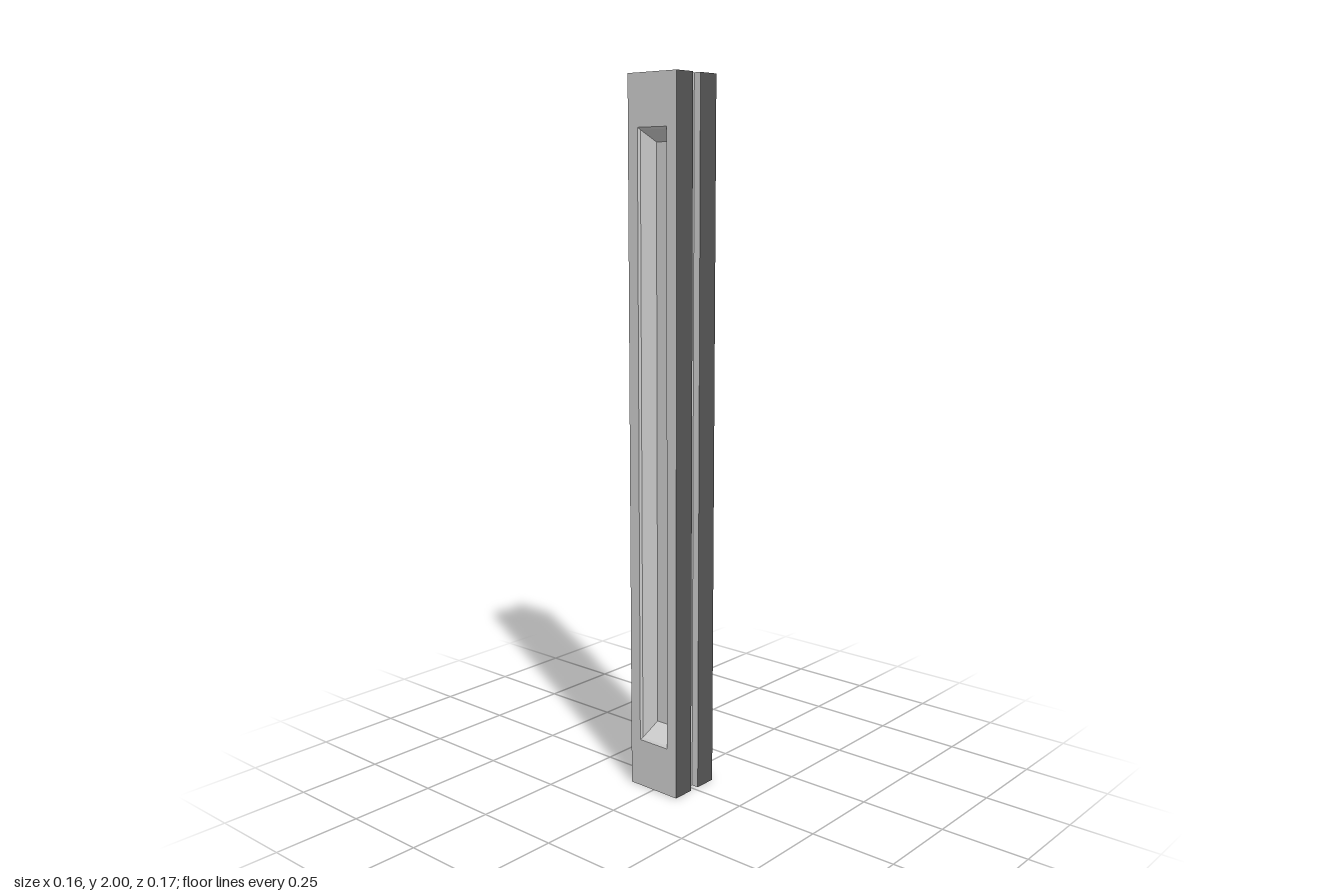
import * as THREE from 'three';

const W = 0.081, D = 0.085, H = 2;      // half width, half depth, height
const GW = 0.015, GZ = 0.064;           // groove half width, groove floor
const grey = new THREE.MeshStandardMaterial({ color: 0xcccccc, flatShading: true });
const dark = new THREE.MeshStandardMaterial({ color: 0x555555, flatShading: true });

// Flat-shaded geometry from four-cornered faces, corners counter-clockwise
function quads(list) {
  const pos = list.flatMap(([a, b, c, d]) => [a, b, c, a, c, d].flat());
  const g = new THREE.BufferGeometry();
  g.setAttribute('position', new THREE.Float32BufferAttribute(pos, 3));
  g.computeVertexNormals();
  return g;
}

function part(name, geometry, material = grey) {
  const mesh = new THREE.Mesh(geometry, material);
  mesh.name = name;
  return mesh;
}

// Full-height vertical strip between two plan points (x, z)
const strip = ([x0, z0], [x1, z1]) => [[x0, 0, z0], [x1, 0, z1], [x1, H, z1], [x0, H, z0]];

// Rectangle corners of a recess section: half width, bottom, top, depth
const ring = ([w, y0, y1, z]) => [[-w, y0, z], [w, y0, z], [w, y1, z], [-w, y1, z]];

function createHalf() {
  const half = new THREE.Group();

  // Dark faces either side of the groove
  half.add(part('facePanels', quads([
    strip([-W, D], [-GW, D]),
    strip([GW, D], [W, D]),
  ]), dark));

  // Groove walls and floor
  half.add(part('groove', quads([
    strip([-GW, D], [-GW, GZ]),
    strip([-GW, GZ], [GW, GZ]),
    strip([GW, GZ], [GW, D]),
  ])));

  // Side face with an opening, then a bevelled lip and a deep pocket with sloped ends
  const sections = [
    [0.051, 0.14, 1.86, 0],
    [0.046, 0.146, 1.854, -0.006],
    [0.046, 0.176, 1.824, -0.07],
  ];
  const toVectors = (pts) => pts.map(([x, y]) => new THREE.Vector2(x, y));
  const outline = new THREE.Shape(toVectors(ring([D, 0, H, 0])));
  outline.holes.push(new THREE.Path(toVectors(ring(sections[0]))));

  const rings = sections.map(ring);
  const walls = [rings[2]];
  for (let s = 0; s < 2; s++) {
    for (let i = 0; i < 4; i++) {
      const j = (i + 1) % 4;
      walls.push([rings[s][i], rings[s][j], rings[s + 1][j], rings[s + 1][i]]);
    }
  }
  const side = new THREE.Group();
  side.name = 'side';
  side.add(part('sideFace', new THREE.ShapeGeometry(outline)));
  side.add(part('sideRecess', quads(walls)));
  side.rotation.y = Math.PI / 2;
  side.position.x = W;
  half.add(side);
  return half;
}

export function createModel() {
  const model = new THREE.Group();
  model.name = 'groovedPost';

  // Two identical halves, turned half a revolution apart
  ['frontLeftHalf', 'backRightHalf'].forEach((name, i) => {
    const half = createHalf();
    half.name = name;
    half.rotation.y = i * Math.PI;
    model.add(half);
  });

  // Notched end caps
  const plan = new THREE.Shape([
    [-W, -D], [-GW, -D], [-GW, -GZ], [GW, -GZ], [GW, -D], [W, -D],
    [W, D], [GW, D], [GW, GZ], [-GW, GZ], [-GW, D], [-W, D],
  ].map(([x, y]) => new THREE.Vector2(x, y)));
  const top = part('topCap', new THREE.ShapeGeometry(plan));
  top.rotation.x = -Math.PI / 2;
  top.position.y = H;
  const bottom = part('bottomCap', new THREE.ShapeGeometry(plan));
  bottom.rotation.x = Math.PI / 2;
  model.add(top, bottom);
  return model;
}
